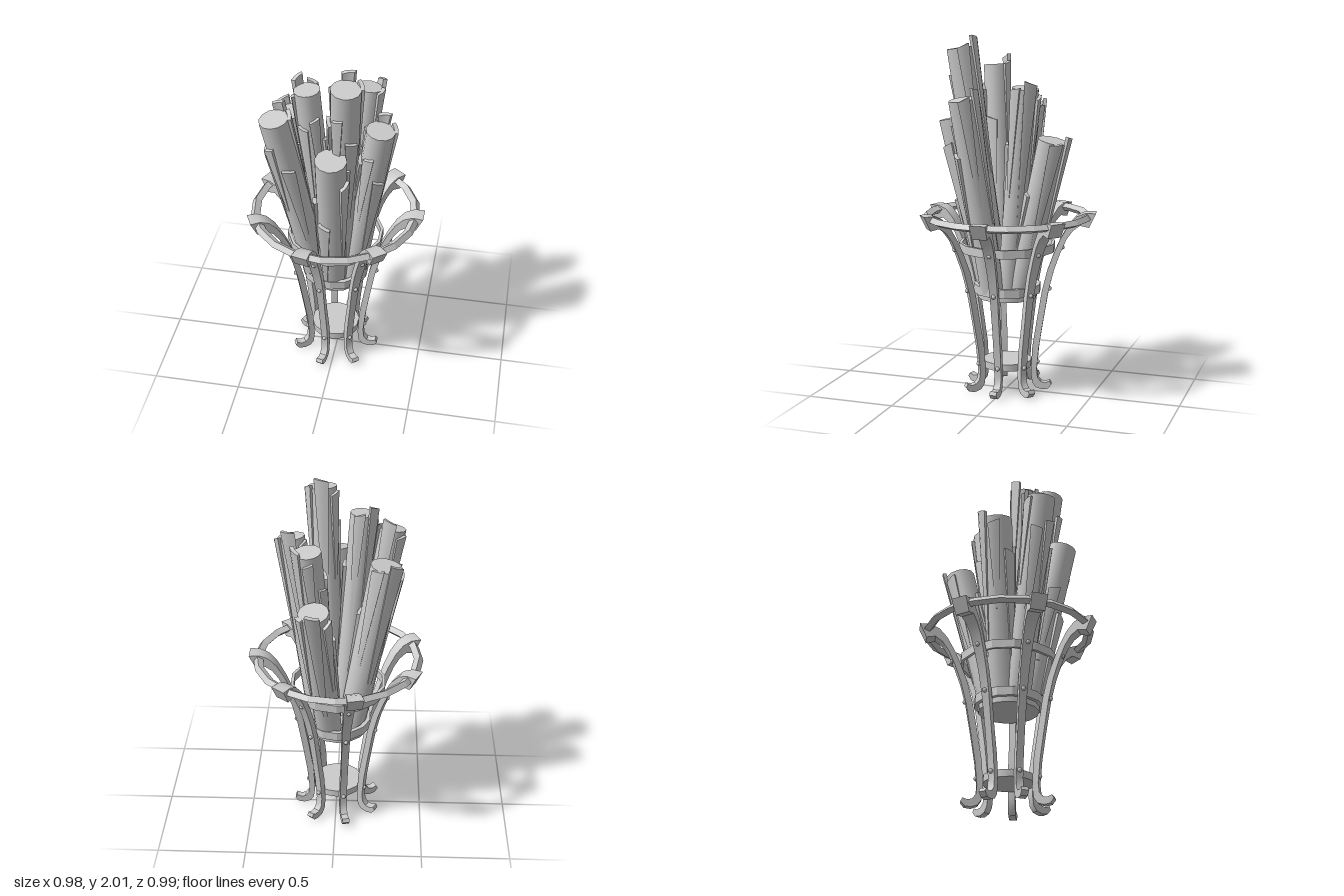
import * as THREE from 'three';
import { toCreasedNormals } from 'three/addons/utils/BufferGeometryUtils.js';

const grey = new THREE.MeshStandardMaterial({ color: 0xcccccc });
grey.name = 'plain grey';

function part(name, geometry, parent) {
  const mesh = new THREE.Mesh(geometry, grey);
  mesh.name = name;
  parent.add(mesh);
  return mesh;
}

// Closed cross-section [radius, y], counter-clockwise, spun into a sharp-edged ring
function ring(points, sides) {
  const loop = [...points, points[0]].map(([r, y]) => new THREE.Vector2(r, y));
  return toCreasedNormals(new THREE.LatheGeometry(loop, sides), 0.15);
}

function band(inner, outer, bottom, top) {
  return ring([[inner, bottom], [outer, bottom], [outer, top], [inner, top]], 14);
}

// Curved leg: a side profile given thickness that flares toward the rim
function legGeometry() {
  const profile = [
    [0.498, 1.03], [0.44, 1.032], [0.39, 1.01], [0.345, 0.96], [0.3, 0.88], [0.265, 0.8],
    [0.228, 0.7], [0.198, 0.58], [0.168, 0.4], [0.145, 0.25], [0.137, 0.1], [0.145, 0.04],
    [0.165, 0.012], [0.2, 0], [0.235, 0.005], [0.255, 0.03], [0.245, 0.05], [0.22, 0.04],
    [0.195, 0.045], [0.175, 0.07], [0.17, 0.12], [0.182, 0.25], [0.205, 0.4], [0.235, 0.58],
    [0.265, 0.7], [0.3, 0.8], [0.335, 0.88], [0.37, 0.93], [0.41, 0.96], [0.46, 0.95],
  ];
  const shape = new THREE.Shape(profile.map(([x, y]) => new THREE.Vector2(x, y)));
  const geometry = new THREE.ExtrudeGeometry(shape, { depth: 1, bevelEnabled: false });
  const p = geometry.attributes.position;
  for (let i = 0; i < p.count; i++) {
    const flare = p.getY(i) > 0.4 ? Math.max(0, (p.getX(i) - 0.17) / 0.32) : 0.1;
    p.setZ(i, (p.getZ(i) - 0.5) * (0.034 + 0.056 * flare));
  }
  return toCreasedNormals(geometry, 0.6);
}

// Bark strip: a box bent round the log, narrowing and sinking in toward its lower end
function barkGeometry(radius, angle, width, bottom, top, skew) {
  const geometry = new THREE.BoxGeometry(1, 1, 1, 3, 1, 1);
  const p = geometry.attributes.position;
  for (let i = 0; i < p.count; i++) {
    const upper = p.getY(i) > 0;
    const across = p.getX(i);
    const t = angle + across * width * (upper ? 1 : 0.35);
    const r = radius * (upper ? 1 : 0.9) + (p.getZ(i) > 0 ? (upper ? 0.016 : 0.004) : -0.006);
    p.setXYZ(i, r * Math.sin(t), upper ? top + across * skew : bottom, r * Math.cos(t));
  }
  return toCreasedNormals(geometry, 0.6);
}

// Each strip: turn round the log, width, top relative to the cut end, length
const strips = [
  [0, 0.85, 0.05, 0.75],
  [0.95, 0.7, -0.03, 0.5],
  [1.9, 0.75, -0.2, 0.6],
  [2.8, 0.7, -0.15, 0.45],
  [3.75, 0.8, -0.3, 0.55],
  [5.2, 0.75, 0.01, 0.6],
];

function makeLog(bottom, top, radius, turn, drop) {
  const log = new THREE.Group();
  log.name = 'log';
  const from = new THREE.Vector3(...bottom);
  const axis = new THREE.Vector3(...top).sub(from);
  const length = axis.length();
  const core = new THREE.CylinderGeometry(radius, radius * 0.88, length, 12);
  part('logCore', core.translate(0, length / 2, 0), log);
  strips.forEach(([angle, width, rise, span], i) => {
    const end = length + rise - drop;
    const start = Math.max(0.05, end - span);
    const skew = i % 2 ? 0.02 : -0.02;
    part('barkStrip', barkGeometry(radius, turn + angle, width, start, end, skew), log);
  });
  log.position.copy(from);
  log.quaternion.setFromUnitVectors(new THREE.Vector3(0, 1, 0), axis.normalize());
  return log;
}

export function createModel() {
  const model = new THREE.Group();
  model.name = 'logBasket';

  // Metal stand
  const stand = new THREE.Group();
  stand.name = 'stand';
  stand.position.x = -0.01;
  model.add(stand);

  part('rim', ring([[0.445, 0.985], [0.477, 1.0], [0.456, 1.028], [0.424, 1.008]], 20), stand);
  part('upperBand', band(0.255, 0.272, 0.81, 0.858), stand);
  part('basketBand', band(0.165, 0.19, 0.57, 0.62), stand);
  part('basketFloor', new THREE.CylinderGeometry(0.168, 0.168, 0.04, 14), stand).position.y = 0.56;
  part('lowerPlate', new THREE.CylinderGeometry(0.14, 0.14, 0.04, 14), stand).position.y = 0.155;

  // Seven legs with rivets where they meet the bands
  const legShape = legGeometry();
  const rivetShape = new THREE.SphereGeometry(0.013, 8, 6);
  for (let i = 0; i < 7; i++) {
    const leg = new THREE.Group();
    leg.name = 'leg';
    leg.rotation.y = (i * Math.PI * 2) / 7;
    part('legBar', legShape, leg);
    for (const [r, y] of [[0.311, 0.83], [0.239, 0.59], [0.174, 0.16]]) {
      part('rivet', rivetShape, leg).position.set(r, y, 0);
    }
    stand.add(leg);
  }

  // Bundle of logs: foot, cut end, radius, bark turn, bark drop
  const logs = [
    [[0.04, 0.59, -0.09], [0.11, 1.45, -0.3], 0.084, Math.PI, 0.01],
    [[0.03, 0.59, 0.05], [0.085, 1.94, 0.235], 0.08, Math.PI, 0],
    [[0.05, 0.59, -0.03], [0.145, 1.73, -0.155], 0.074, 2.2, 0.01],
    [[-0.09, 0.59, -0.02], [-0.27, 1.6, -0.04], 0.088, 3.7, 0.01],
    [[-0.04, 0.59, 0.04], [-0.14, 1.84, 0.11], 0.07, 4.0, 0],
    [[-0.11, 0.59, 0.06], [-0.295, 1.71, 0.215], 0.08, 2.9, 0],
    [[-0.01, 0.59, 0.1], [0.02, 1.55, 0.305], 0.085, 2.2, 0.15],
    [[0.1, 0.59, 0.05], [0.255, 1.67, 0.165], 0.077, 3.1, 0],
  ];
  for (const log of logs) model.add(makeLog(...log));

  return model;
}
